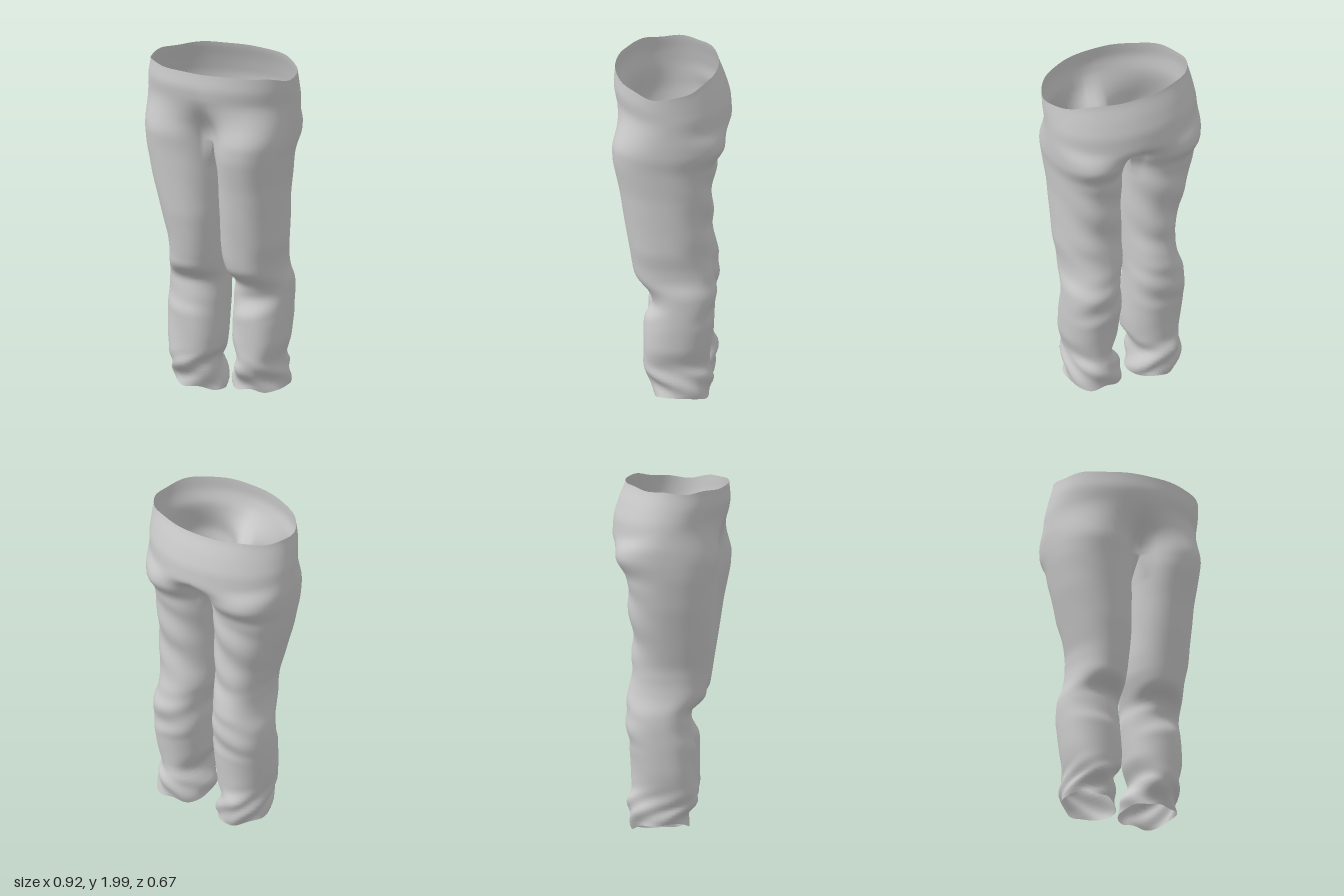
import * as THREE from 'three';
import { mergeVertices } from 'three/addons/utils/BufferGeometryUtils.js';

// Cross-section sizes by height: [y, outer x, inner x, front z, back z]
const LEFT = [
  [2.0, 0.455, 0.02, 0.325, -0.26], [1.9, 0.455, 0.02, 0.335, -0.30], [1.8, 0.453, 0.02, 0.32, -0.33],
  [1.65, 0.445, 0.02, 0.325, -0.34], [1.56, 0.437, 0.02, 0.332, -0.305], [1.48, 0.42, 0.023, 0.328, -0.25],
  [1.3, 0.4, 0.024, 0.29, -0.23], [1.1, 0.39, 0.024, 0.26, -0.215], [0.95, 0.385, 0.02, 0.235, -0.215],
  [0.85, 0.368, 0.025, 0.22, -0.235], [0.77, 0.365, 0.05, 0.205, -0.25], [0.7, 0.385, 0.07, 0.115, -0.26],
  [0.62, 0.385, 0.055, 0.105, -0.255], [0.5, 0.385, 0.06, 0.145, -0.25], [0.35, 0.378, 0.065, 0.155, -0.225],
  [0.25, 0.345, 0.11, 0.16, -0.215], [0.19, 0.36, 0.08, 0.155, -0.245], [0.12, 0.36, 0.045, 0.1, -0.235],
  [0.07, 0.365, 0.055, 0.1, -0.225],
];
const RIGHT = [
  [2.0, -0.425, 0.02, 0.325, -0.26], [1.9, -0.445, 0.02, 0.335, -0.30], [1.8, -0.458, 0.02, 0.315, -0.33],
  [1.65, -0.465, 0.02, 0.285, -0.34], [1.56, -0.458, 0.02, 0.275, -0.305], [1.48, -0.447, 0.017, 0.265, -0.25],
  [1.3, -0.41, 0.016, 0.255, -0.235], [1.1, -0.355, 0.014, 0.245, -0.215], [0.95, -0.315, 0.005, 0.225, -0.215],
  [0.85, -0.31, 0.0, 0.21, -0.235], [0.77, -0.32, -0.005, 0.195, -0.25], [0.69, -0.345, -0.01, 0.11, -0.255],
  [0.62, -0.352, -0.01, 0.11, -0.25], [0.5, -0.352, -0.01, 0.14, -0.24], [0.35, -0.345, -0.01, 0.15, -0.22],
  [0.25, -0.33, -0.02, 0.155, -0.215], [0.19, -0.32, -0.07, 0.155, -0.245], [0.1, -0.33, -0.03, 0.1, -0.235],
  [0.04, -0.32, -0.03, 0.1, -0.215],
];
const CROTCH = 1.56, SEAM_X = 0.02, BETA = 0.96;
const OUTER = 44, INNER = 18, HIP_ROWS = 24, LEG_ROWS = 84;
const { clamp, lerp, smoothstep } = THREE.MathUtils;
const power = (v, e) => Math.sign(v) * Math.abs(v) ** e;

function sample(table, y) {
  const at = (h) => {
    let i = 0;
    while (i < table.length - 2 && table[i + 1][0] > h) i++;
    const a = table[i], b = table[i + 1], t = clamp((a[0] - h) / (a[0] - b[0]), 0, 1);
    return a.map((v, k) => lerp(v, b[k], t));
  };
  const [p, q, r] = [at(y - 0.02), at(y), at(y + 0.02)];
  return q.map((v, k) => (p[k] + v + r[k]) / 3);
}

// Cloth creases: drags behind the thighs, folds at the knee and shin, bunching at the hem
function crease(phi, y, s) {
  const facing = Math.cos(phi) ** 2, back = 0.5 - 0.5 * Math.cos(phi);
  const thigh = smoothstep(y, 0.8, 1.0) * (1 - smoothstep(y, 1.35, 1.5));
  const knee = smoothstep(y, 0.45, 0.55) * (1 - smoothstep(y, 0.7, 0.85));
  const shin = smoothstep(y, 0.1, 0.25) * (1 - smoothstep(y, 0.55, 0.7));
  const hem = 1 - smoothstep(y, 0.16, 0.3);
  return 0.009 * thigh * facing * back * Math.sin(24 * y + 3 * phi * s + s)
    + 0.006 * knee * facing * Math.sin(36 * y - 2 * phi + 2 * s)
    + 0.006 * shin * facing * Math.sin(13 * y + 3 * phi * s + 1)
    + 0.008 * hem * Math.sin(48 * y + 4 * phi + s);
}

// One point: j runs front to back round the outside, then forward along the inseam
function rawPoint(table, s, j, y) {
  const [, out, inn, front, back] = sample(table, y);
  const inseam = j > OUTER;
  const phi = inseam
    ? Math.PI + BETA + ((j - OUTER) / INNER) * (Math.PI - 2 * BETA)
    : -BETA + (j / OUTER) * (Math.PI + 2 * BETA);
  const zc = (front + back) / 2, rz = (front - back) / 2, cx = (out + inn) / 2;
  const fold = crease(phi, y, s), rx = Math.abs(out - inn) / 2;
  const round = Math.cos(phi) > 0 ? 0.87 : 0.94;
  const p = new THREE.Vector3(
    cx + s * (rx + fold) * power(Math.sin(phi), 0.9), y, zc + (rz + fold) * power(Math.cos(phi), round));
  if (!inseam) {
    // Blend into half of the hip oval; the seat stays full lower down than the front
    const a = (j / OUTER) * Math.PI;
    const w = smoothstep(y, CROTCH, lerp(1.84, 1.7, 0.5 - 0.5 * Math.cos(a)));
    p.x = lerp(p.x, SEAM_X + (out - SEAM_X) * Math.sin(a), w);
    p.z = lerp(p.z, zc + rz * power(Math.cos(a), 0.97), w);
  }
  return p;
}

function point(s, j, y) {
  const p = rawPoint(s > 0 ? LEFT : RIGHT, s, j, y);
  const onSeam = j % OUTER === 0 || j > OUTER;
  if (onSeam) {
    // Both halves share the centre seam and part gradually below it
    const q = rawPoint(s > 0 ? RIGHT : LEFT, -s, j, y);
    const k = clamp((y - 1.4) / (CROTCH - 1.4), 0, 1);
    p.x = lerp(p.x, SEAM_X, k);
    p.z = lerp(p.z, (p.z + q.z) / 2, k);
  }
  // Uneven waist edge, dipping most at the left hip
  if (y > 1.8) {
    const a = (Math.min(j, OUTER) / OUTER) * Math.PI, side = Math.sin(a);
    const rim = 1.99 - 0.006 * Math.cos(a) - (s > 0 ? 0.042 : 0.014) * side ** 4 + 0.006 * Math.sin(8 * a) * side;
    p.y = 1.8 + (y - 1.8) * (rim - 1.8) / 0.2;
  }
  // Uneven hem, lower at the inner back of the right leg
  const hem = 1 - smoothstep(y, 0.04, 0.2);
  p.y += hem * (0.008 * Math.sin(p.x * 38) + (s < 0 ? 0.14 * (-0.18 - p.x) + 0.05 * p.z : 0.03 * p.z - 0.005));
  p.y = Math.max(p.y, 0);
  return p;
}

function loft(positions, index, s, rows, columns, closed) {
  const base = positions.length / 3, across = closed ? columns : columns - 1;
  rows.forEach((y) => {
    for (let j = 0; j < columns; j++) positions.push(...point(s, j, y).toArray());
  });
  for (let i = 0; i < rows.length - 1; i++) {
    for (let j = 0; j < across; j++) {
      const n = (j + 1) % columns;
      const a = base + i * columns + j, b = base + i * columns + n, c = a + columns, d = b + columns;
      if (s > 0) index.push(a, c, b, b, c, d);
      else index.push(a, b, c, b, d, c);
    }
  }
}

const steps = (from, to, n) => Array.from({ length: n + 1 }, (_, i) => lerp(from, to, i / n));

export function createModel() {
  const group = new THREE.Group();
  group.name = 'trousers';
  const positions = [], index = [];
  for (const s of [1, -1]) {
    // Half of the hips, then the leg below
    loft(positions, index, s, steps(2, CROTCH, HIP_ROWS), OUTER + 1, false);
    loft(positions, index, s, steps(CROTCH, s > 0 ? 0.07 : 0.04, LEG_ROWS), OUTER + INNER, true);
  }
  let cloth = new THREE.BufferGeometry();
  cloth.setAttribute('position', new THREE.Float32BufferAttribute(positions, 3));
  cloth.setIndex(index);
  cloth = mergeVertices(cloth, 1e-4);
  cloth.computeVertexNormals();
  const mesh = new THREE.Mesh(cloth, new THREE.MeshStandardMaterial({ color: 0xcccccc, side: THREE.DoubleSide }));
  mesh.name = 'hipsAndLegs';
  group.add(mesh);
  return group;
}
